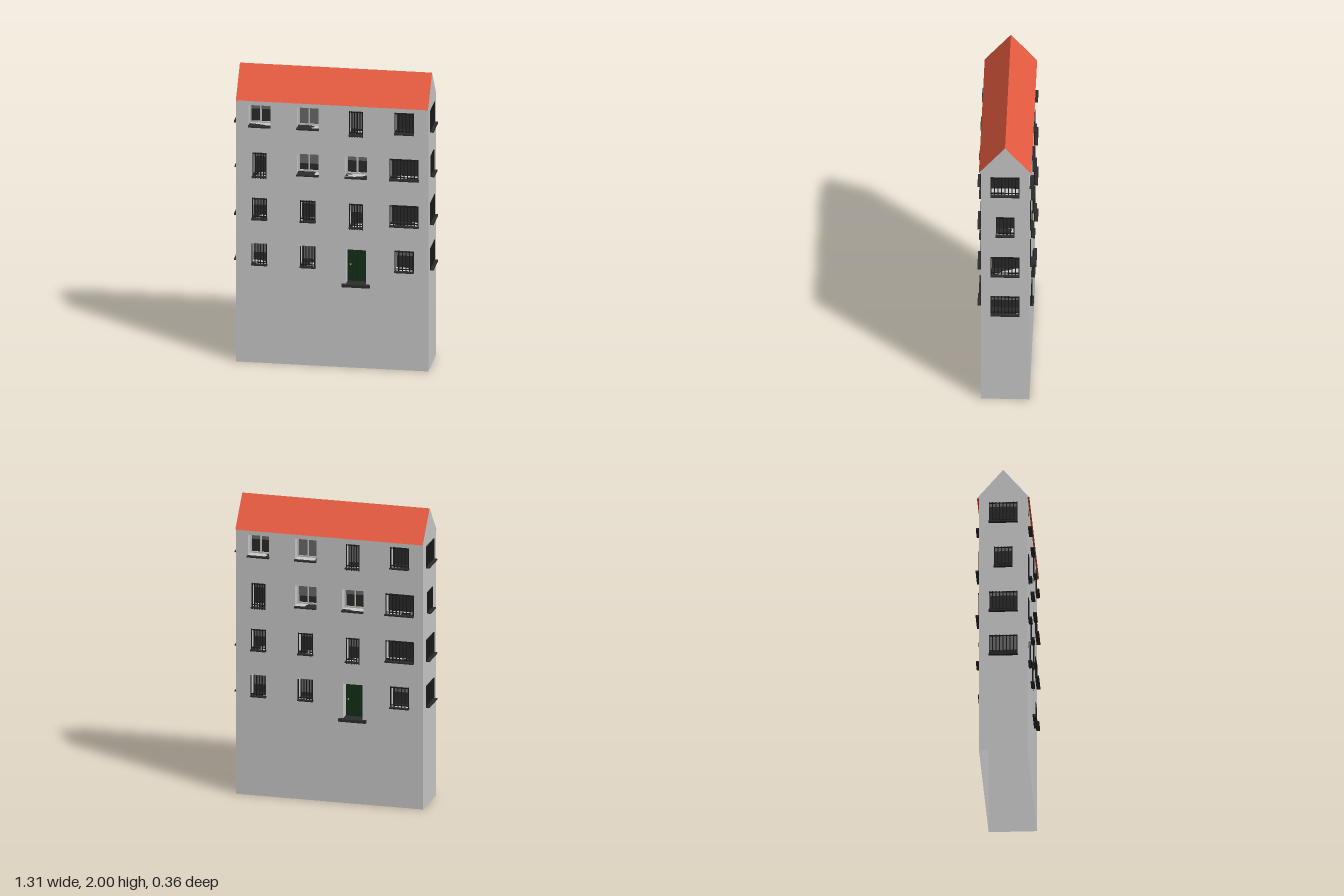
import * as THREE from 'three';

const paint = (color) => new THREE.MeshStandardMaterial({ color, side: THREE.DoubleSide });
const plaster = paint(0xcccccc), tiles = paint(0xe85c42), iron = paint(0x1c1c1c);
const glass = paint(0x2b2b2b), blindCloth = paint(0x6a6a6a), frameWood = paint(0xc4c2b8);
const sillStone = paint(0x2c2c2c), doorGreen = paint(0x14301a), brass = paint(0xc8b878);

const HALF_W = 0.63, HALF_D = 0.157, EAVES = 1.8, EAVE_Z = 0.17, RIDGE = 2;
const DEPTH = 0.07; // how far windows and door sit back in the wall

function box(parent, name, mat, w, h, d, x, y, z) {
  const mesh = new THREE.Mesh(new THREE.BoxGeometry(w, h, d), mat);
  mesh.name = name;
  mesh.position.set(x, y, z);
  parent.add(mesh);
  return mesh;
}

// Four sides of the recess, open at front and back
function reveal(parent, o) {
  const geo = new THREE.BoxGeometry(o.w, o.h, DEPTH);
  geo.setIndex(Array.from(geo.index.array).slice(0, 24));
  const mesh = new THREE.Mesh(geo, plaster);
  mesh.name = 'reveal';
  mesh.position.set(0, o.h / 2, -DEPTH / 2);
  parent.add(mesh);
}

// Dark pane with a blind drawn down over the upper part
function pane(g, o) {
  box(g, 'glass', glass, o.w, o.h, 0.004, 0, o.h / 2, -DEPTH);
  if (o.blind) {
    const bh = o.h * o.blind;
    box(g, 'blind', blindCloth, o.w, bh, 0.004, 0, o.h - bh / 2, -DEPTH + 0.003);
  }
}

function framedWindow(g, o) {
  pane(g, o);
  const t = 0.009, z = -DEPTH + 0.008;
  for (const s of [-1, 0, 1]) box(g, 'frameUpright', frameWood, t, o.h, 0.012, s * (o.w - t) / 2, o.h / 2, z);
  for (const y of [t / 2, o.h - t / 2]) box(g, 'frameRail', frameWood, o.w, t, 0.012, 0, y, z);
}

function barredWindow(g, o) {
  pane(g, o);
  const n = Math.max(6, Math.round(o.w / 0.021)), z = o.proud ? 0.011 : 0.002;
  const low = o.drop ? -0.02 : 0, high = o.h;
  for (let i = 0; i < n; i++) {
    const x = (i / (n - 1) - 0.5) * (o.w - 0.006);
    box(g, 'bar', iron, 0.006, high - low, 0.006, x, (high + low) / 2, z);
  }
  box(g, 'barRail', iron, o.w, 0.006, 0.006, 0, 0.012, z);
  if (!o.proud) box(g, 'barRail', iron, o.w, 0.006, 0.006, 0, o.h - 0.006, z);
}

function plankDoor(g, o) {
  const n = 5, pw = o.w / n;
  box(g, 'doorBacking', doorGreen, o.w, o.h, 0.006, 0, o.h / 2, -DEPTH);
  for (let i = 0; i < n; i++) {
    box(g, 'doorPlank', doorGreen, pw - 0.004, o.h, 0.008, (i - 2) * pw, o.h / 2, -DEPTH + 0.006);
  }
  const knob = new THREE.Mesh(new THREE.SphereGeometry(0.006, 12, 8), brass);
  knob.name = 'doorKnob';
  knob.position.set(-0.045, 0.115, -DEPTH + 0.015);
  g.add(knob);
  box(g, 'doorStep', sillStone, 0.185, 0.018, 0.025 + DEPTH, 0, -0.009, (0.025 - DEPTH) / 2);
}

const builders = { framed: framedWindow, barred: barredWindow, door: plankDoor };

// A wall with cut openings, fitted with its windows and door; the wall lies at z = 0
function facade(name, outline, openings) {
  const group = new THREE.Group();
  group.name = name;
  const shape = new THREE.Shape(outline.map(([x, y]) => new THREE.Vector2(x, y)));
  for (const o of openings) {
    const a = o.x - o.w / 2, b = o.x + o.w / 2, c = o.y, d = o.y + o.h;
    shape.holes.push(new THREE.Path([[a, c], [a, d], [b, d], [b, c]].map(([x, y]) => new THREE.Vector2(x, y))));
    const g = new THREE.Group();
    g.name = o.kind === 'door' ? 'door' : o.kind + 'Window';
    g.position.set(o.x, o.y, 0);
    reveal(g, o);
    builders[o.kind](g, o);
    if (o.kind !== 'door') {
      box(g, 'sill', sillStone, o.w + 0.004, 0.009, 0.025 + DEPTH, 0, -0.0045, (0.025 - DEPTH) / 2);
    }
    group.add(g);
  }
  const wall = new THREE.Mesh(new THREE.ShapeGeometry(shape), plaster);
  wall.name = 'wall';
  group.add(wall);
  return group;
}

const COLS = [-0.477, -0.16, 0.156, 0.472];
const FLOORS = [0.682, 0.994, 1.312, 1.63];
const opening = (kind, x, y, w, h = 0.138, extra = {}) => ({ kind, x, y, w, h, ...extra });

function frontOpenings() {
  const [a, b, c, d] = COLS, [f0, f1, f2, f3] = FLOORS;
  const framed = (x, y, blind) => opening('framed', x, y, 0.142, 0.138, { blind });
  const barred = (x, y, w, blind, extra) => opening('barred', x, y, w, 0.138, { blind, ...extra });
  const tall = (x, y, blind) => opening('barred', x, y - 0.026, 0.09, 0.158, { blind, drop: true });
  return [
    // Ground-level floor
    barred(a, f0, 0.1, 0.6, { proud: true }), barred(b, f0, 0.1, 0.8, { proud: true }),
    opening('door', c, 0.575, 0.13, 0.235), barred(d, f0, 0.125, 0.4),
    // Second floor
    barred(a, f1, 0.1, 0.5), barred(b, f1, 0.1, 0.3), tall(c, f1, 0.5), barred(d, f1, 0.19, 0),
    // Third floor
    tall(a, f2, 0.3), framed(b, f2, 0.62), framed(c, f2, 0.35), barred(d, f2, 0.19, 0),
    // Top floor
    framed(a, f3, 0.33), framed(b, f3, 0.98), tall(c, f3, 0.9), barred(d, f3, 0.125, 0),
  ];
}

function sideOpenings() {
  const widths = [0.186, 0.186, 0.12, 0.186], blinds = [0.55, 0, 0, 0];
  return FLOORS.map((y, i) => opening('barred', 0, y, widths[i], 0.138, { blind: blinds[i] }));
}

export function createModel() {
  const model = new THREE.Group();
  model.name = 'townHouse';

  const frontOutline = [[-HALF_W, 0], [HALF_W, 0], [HALF_W, EAVES + 0.012], [-HALF_W, EAVES + 0.012]];
  const gableOutline = [[-HALF_D, 0], [HALF_D, 0], [HALF_D, EAVES], [EAVE_Z, EAVES],
    [0, RIDGE], [-EAVE_Z, EAVES], [-HALF_D, EAVES]];

  // Opposite walls match under a half turn
  for (const turn of [0, 1]) {
    const long = facade(turn ? 'backWall' : 'frontWall', frontOutline, frontOpenings());
    long.rotation.y = turn * Math.PI;
    long.position.z = turn ? -HALF_D : HALF_D;
    const side = facade(turn ? 'rightWall' : 'leftWall', gableOutline, sideOpenings());
    side.rotation.y = Math.PI / 2 + turn * Math.PI;
    side.position.x = turn ? -HALF_W : HALF_W;

    // Roof slope leaning from eave to ridge
    const rise = RIDGE - EAVES;
    const slope = new THREE.Mesh(new THREE.PlaneGeometry(HALF_W * 2, Math.hypot(rise, EAVE_Z)), tiles);
    slope.name = 'roofSlope';
    slope.rotation.x = -Math.atan2(EAVE_Z, rise);
    slope.position.set(0, (RIDGE + EAVES) / 2, EAVE_Z / 2);
    const half = new THREE.Group();
    half.name = turn ? 'backRoof' : 'frontRoof';
    half.rotation.y = turn * Math.PI;
    half.add(slope);
    model.add(long, side, half);
  }
  return model;
}
